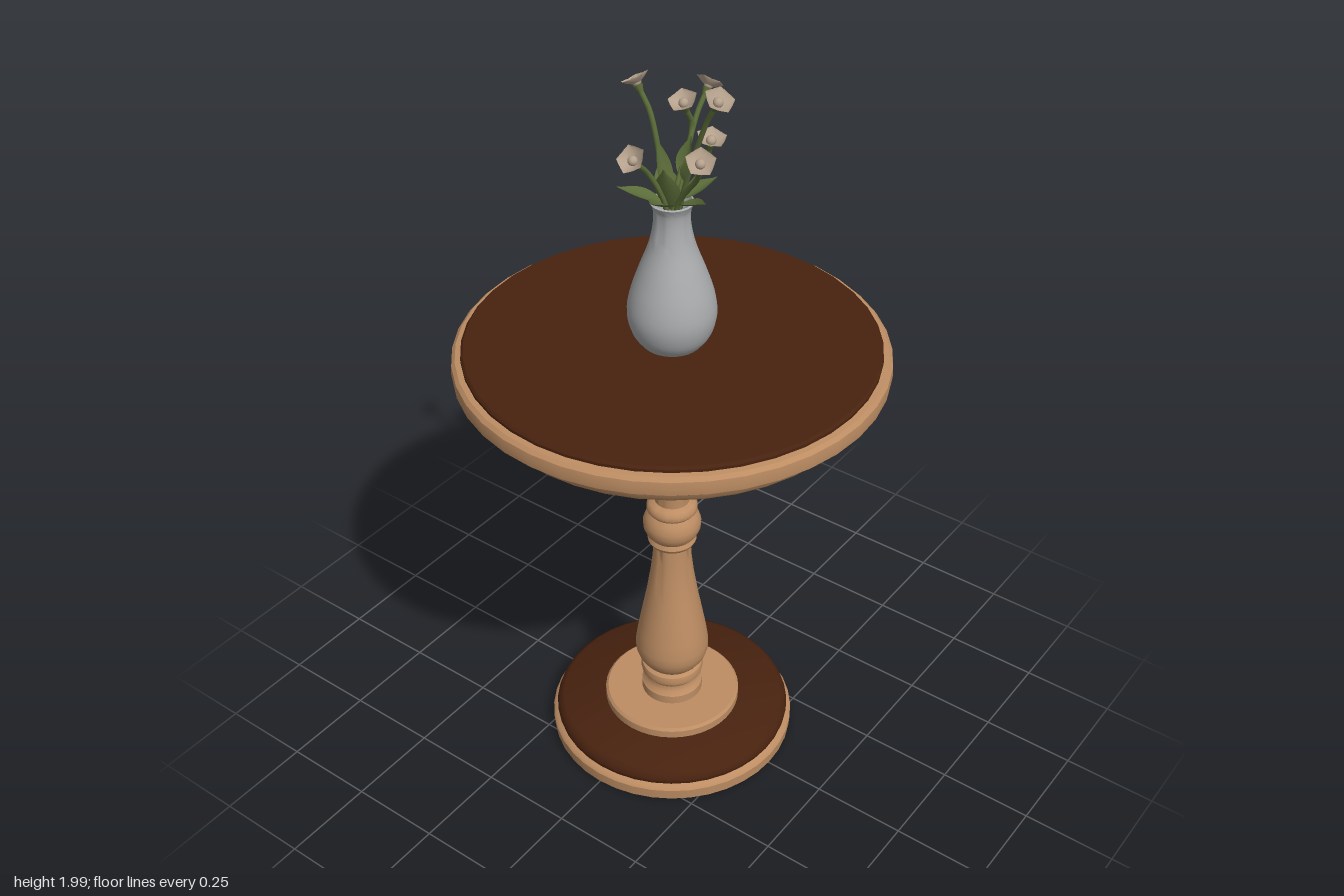
import * as THREE from 'three';
import { toCreasedNormals } from 'three/addons/utils/BufferGeometryUtils.js';

const paint = (name, color, side = THREE.FrontSide) => {
  const m = new THREE.MeshStandardMaterial({ color, side });
  m.name = name;
  return m;
};
const V = (x, y, z) => new THREE.Vector3(x, y, z);

export function createModel() {
  const oak = paint('light wood', 0xbd8d63);
  const walnut = paint('dark wood', 0x48220f);
  const glaze = paint('vase grey', 0xa8aaac, THREE.DoubleSide);
  const green = paint('leaf green', 0x5a6b38, THREE.DoubleSide);
  const cream = paint('petal cream', 0xb5a18c, THREE.DoubleSide);

  const model = new THREE.Group();
  model.name = 'pedestalTableWithVase';

  const add = (parent, name, geometry, material) => {
    const mesh = new THREE.Mesh(geometry, material);
    mesh.name = name;
    parent.add(mesh);
    return mesh;
  };
  // Turned part: profile of [radius, height], running upwards on the outside
  const turned = (name, profile, material, segments = 40) => {
    const pts = profile.map(([r, y]) => new THREE.Vector2(r, y));
    const geo = toCreasedNormals(new THREE.LatheGeometry(pts, segments), 0.65);
    return add(model, name, geo, material);
  };

  // Foot: hollow rim, dark plate and step
  turned('footRim', [[0.31, 0.055], [0.315, 0], [0.335, 0.004], [0.337, 0.035], [0.33, 0.045], [0.3, 0.055]], oak);
  turned('footPlate', [[0, 0.07], [0.312, 0.07], [0.312, 0.046], [0.322, 0.048], [0.325, 0.06], [0.318, 0.077], [0.305, 0.086], [0, 0.086]], walnut);
  turned('footUnderDisc', [[0, 0.066], [0.165, 0.066], [0.165, 0.071]], oak);
  turned('footStep', [[0.187, 0.085], [0.187, 0.108], [0.18, 0.115], [0, 0.115]], oak);

  // Turned column
  turned('column', [
    [0.084, 0.114], [0.084, 0.14], [0.074, 0.15], [0.07, 0.165], [0.074, 0.175],
    [0.084, 0.184], [0.086, 0.195], [0.083, 0.208], [0.073, 0.214], [0.08, 0.222],
    [0.092, 0.24], [0.1, 0.265], [0.1, 0.29], [0.094, 0.33], [0.083, 0.39],
    [0.07, 0.46], [0.059, 0.53], [0.052, 0.59], [0.05, 0.635], [0.06, 0.64],
    [0.065, 0.65], [0.06, 0.662], [0.068, 0.672], [0.076, 0.69], [0.077, 0.71],
    [0.07, 0.73], [0.061, 0.742], [0.067, 0.75], [0.067, 0.762], [0.06, 0.772],
    [0.046, 0.778], [0.046, 0.8], [0.052, 0.88], [0.06, 0.96], [0.069, 1.03], [0.076, 1.065],
    [0.088, 1.07], [0.092, 1.082], [0.088, 1.094], [0.08, 1.098], [0.085, 1.106],
    [0.1, 1.115], [0.114, 1.13], [0.12, 1.14], [0.12, 1.155]
  ], oak);

  // Table top, built up from moulded rings
  turned('topCollar', [[0.1, 1.148], [0.235, 1.15], [0.243, 1.157], [0.243, 1.185]], oak);
  turned('topUnderside', [[0.1, 1.172], [0.47, 1.172]], walnut);
  turned('undersideBead', [[0.292, 1.175], [0.298, 1.164], [0.312, 1.164], [0.318, 1.175]], oak);
  turned('lowerMoulding', [[0.445, 1.178], [0.45, 1.156], [0.485, 1.155], [0.493, 1.165], [0.5, 1.181], [0.49, 1.184]], oak);
  turned('darkMoulding', [[0.48, 1.18], [0.503, 1.182], [0.515, 1.196], [0.522, 1.208]], walnut);
  turned('topRim', [[0.51, 1.204], [0.53, 1.204], [0.541, 1.212], [0.543, 1.23], [0.541, 1.248], [0.532, 1.257], [0.505, 1.26]], oak);
  turned('topPanel', [[0.518, 1.255], [0.518, 1.266], [0.512, 1.272], [0, 1.272]], walnut);

  // Vase with a hollow neck
  const vaseCurve = new THREE.SplineCurve([
    [0.075, 1.272], [0.098, 1.305], [0.11, 1.355], [0.103, 1.41], [0.082, 1.475],
    [0.058, 1.54], [0.046, 1.595], [0.045, 1.635], [0.053, 1.657]
  ].map(p => new THREE.Vector2(...p)));
  const vaseProfile = vaseCurve.getPoints(32).map(p => [p.x, p.y]);
  turned('vase', [[0, 1.273], ...vaseProfile, [0.048, 1.659], [0.039, 1.635], [0.038, 1.56], [0, 1.55]], glaze, 32);

  // Curved blade along +z: widest where t^k = 0.5, edges and tip curled upwards
  const blade = (length, width, k, lift, cup) => {
    const geo = new THREE.PlaneGeometry(2, 1, 6, 10);
    const p = geo.attributes.position;
    for (let i = 0; i < p.count; i++) {
      const s = p.getX(i), t = p.getY(i) + 0.5;
      const w = Math.sin(Math.PI * Math.min(0.985, 0.02 + t ** k));
      p.setXYZ(i, s * width * w, lift * t * t + cup * s * s * w, length * t);
    }
    geo.computeVertexNormals();
    return geo;
  };

  // Flowers: [head position, facing direction]
  const petalGeo = blade(0.041, 0.021, 1.35, 0.004, 0.006);
  const heartGeo = new THREE.SphereGeometry(0.012, 14, 10);
  const calyxGeo = new THREE.CylinderGeometry(0.012, 0.006, 0.02, 10);
  const up = V(0, 1, 0);
  const flowers = [
    [V(-0.02, 1.875, -0.165), V(0, 0.75, -0.6)],
    [V(-0.02, 1.865, -0.075), V(0, 0.85, 0.4)],
    [V(0.075, 1.81, -0.045), V(0.25, 0.9, 0.1)],
    [V(-0.108, 1.915, -0.015), V(-0.5, 0.85, 0)],
    [V(0.15, 1.96, 0.04), V(0.5, 0.85, 0.15)],
    [V(0.13, 1.82, 0.072), V(0.4, 0.75, 0.45)],
    [V(-0.02, 1.8, 0.115), V(0, 0.7, 0.7)]
  ];
  flowers.forEach(([head, facing], n) => {
    facing.normalize();
    const flower = new THREE.Group();
    flower.name = 'flower' + (n + 1);
    flower.position.copy(head);
    flower.quaternion.setFromUnitVectors(up, facing);
    for (let i = 0; i < 5; i++) {
      const petal = add(flower, 'petal', petalGeo, cream);
      petal.rotation.set(-0.42, i * Math.PI * 0.4, 0, 'YXZ');
    }
    add(flower, 'flowerCentre', heartGeo, cream).position.y = 0.009;
    add(flower, 'calyx', calyxGeo, green).position.y = -0.01;
    model.add(flower);

    const foot = V(head.x * 0.12, 1.56, head.z * 0.12);
    const mouth = V(head.x * 0.2, 1.66, head.z * 0.2);
    const bend = head.clone().addScaledVector(facing, -0.07);
    const stem = new THREE.CatmullRomCurve3([foot, mouth, bend, head.clone().addScaledVector(facing, -0.015)]);
    add(model, 'stem', new THREE.TubeGeometry(stem, 18, 0.0065, 8), green);
  });

  // Leaves: [base x, y, z, yaw, pitch above level, length, half width]
  const leaves = [
    [0.02, 1.655, 0.0, 1.35, 0.28, 0.1, 0.024],
    [-0.015, 1.655, 0.015, -0.9, 0.28, 0.115, 0.028],
    [-0.015, 1.655, -0.015, -2.25, 0.3, 0.11, 0.027],
    [0.01, 1.655, -0.02, 2.6, 0.3, 0.1, 0.024],
    [0.005, 1.655, 0.02, 0.1, 0.35, 0.09, 0.03],
    [0.0, 1.64, 0.01, 0.3, 1.15, 0.13, 0.032],
    [-0.01, 1.66, 0.0, -1.6, 1.25, 0.15, 0.026],
    [0.05, 1.73, 0.015, 1.3, 1.1, 0.11, 0.024],
    [-0.005, 1.7, -0.04, 3.0, 1.1, 0.1, 0.022]
  ];
  for (const [x, y, z, yaw, pitch, length, width] of leaves) {
    const leaf = add(model, 'leaf', blade(length, width, 0.85, 0.012, 0.01), green);
    leaf.position.set(x, y, z);
    leaf.rotation.set(-pitch, yaw, 0, 'YXZ');
  }
  return model;
}
